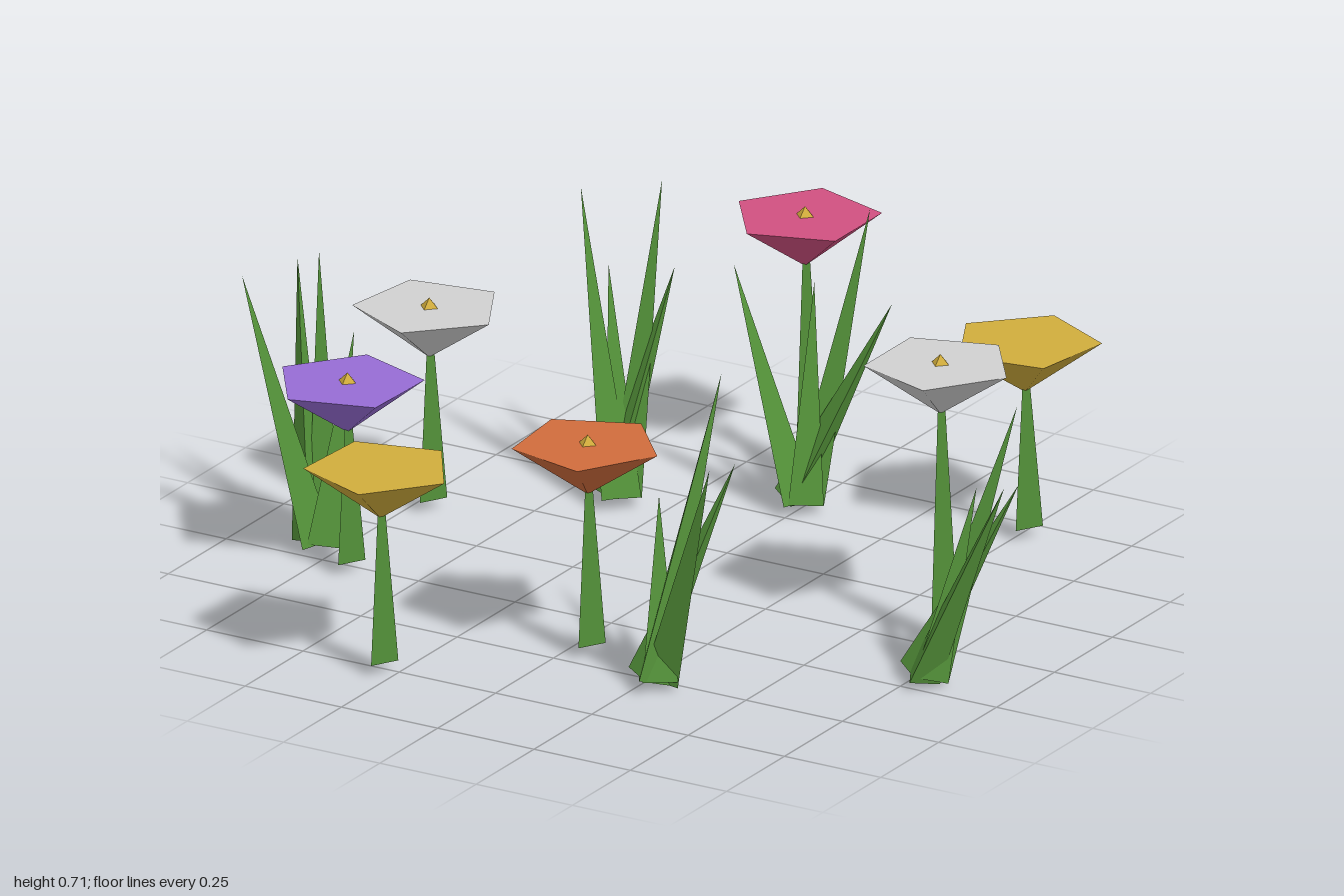
import * as THREE from 'three';

const material = (name, color, flatShading = false) => {
  const m = new THREE.MeshStandardMaterial({ color, flatShading });
  m.name = name;
  return m;
};

const addMesh = (parent, name, geometry, mat) => {
  const mesh = new THREE.Mesh(geometry, mat);
  mesh.name = name;
  parent.add(mesh);
  return mesh;
};

const HEAD_RADIUS = 0.172, HEAD_HEIGHT = 0.12, STEM_BOTTOM = 0.02;

export function createModel() {
  const group = new THREE.Group();
  group.name = 'flowerPatch';

  const green = material('leafGreen', 0x528f38, true);
  const gold = material('centreGold', 0xd0ac3c, true);
  const petals = {
    white: material('petalWhite', 0xd0d0d0),
    purple: material('petalPurple', 0x966cd4),
    yellow: material('petalYellow', 0xd0ac3c),
    orange: material('petalOrange', 0xd06c3c),
    pink: material('petalPink', 0xd05080),
  };

  // Flower: three-sided stem, upturned five-sided head, small gold centre
  const addFlower = ([colour, x, z, top, turn, hasCentre]) => {
    const flower = new THREE.Group();
    flower.name = colour + 'Flower';
    flower.position.set(x, 0, z);
    group.add(flower);

    const stemLength = top - HEAD_HEIGHT + 0.03 - STEM_BOTTOM;
    const stem = addMesh(flower, 'stem', new THREE.CylinderGeometry(0.01, 0.04, stemLength, 3), green);
    stem.position.y = STEM_BOTTOM + stemLength / 2;

    const head = addMesh(flower, 'flowerHead',
      new THREE.CylinderGeometry(HEAD_RADIUS, 0, HEAD_HEIGHT, 5), petals[colour]);
    head.position.y = top - HEAD_HEIGHT / 2;
    head.rotation.y = turn;

    if (hasCentre) {
      const centre = addMesh(flower, 'flowerCentre', new THREE.OctahedronGeometry(0.03), gold);
      centre.position.y = top - 0.008;
    }
  };

  // colour, x, z, top height, turn, gold centre
  [
    ['white', -0.71, -0.145, 0.475, 1.42, true],
    ['purple', -0.67, 0.275, 0.445, -1.6, true],
    ['yellow', -0.29, 0.765, 0.48, 1.51, false],
    ['orange', 0.05, 0.435, 0.495, 1.66, true],
    ['white', 0.68, -0.04, 0.655, 1.57, true],
    ['pink', -0.11, -0.77, 0.605, -1.57, true],
    ['yellow', 0.515, -0.68, 0.46, 2.04, false],
  ].forEach(addFlower);

  // Grass tuft: tapering three-sided blades leaning from a shared base to their tips
  const up = new THREE.Vector3(0, 1, 0);
  const addTuft = ({ base, tips }) => {
    const tuft = new THREE.Group();
    tuft.name = 'grassTuft';
    group.add(tuft);
    tips.forEach(([x, y, z], i) => {
      const tip = new THREE.Vector3(x, y, z);
      const a = i * 2.4;
      const foot = new THREE.Vector3(base[0] + 0.022 * Math.sin(a), 0.014, base[1] + 0.022 * Math.cos(a));
      const axis = tip.clone().sub(foot);
      const length = axis.length();
      const blade = addMesh(tuft, 'grassBlade', new THREE.ConeGeometry(0.047, length, 3), green);
      blade.position.copy(foot).add(tip).multiplyScalar(0.5);
      blade.quaternion.setFromUnitVectors(up, axis.normalize());
      blade.rotateY(i * 1.3);
    });
  };

  [
    { base: [-0.365, -0.385], tips: [[-0.53, 0.68, -0.5], [-0.37, 0.7, -0.585], [-0.31, 0.52, -0.54], [-0.47, 0.5, -0.52]] },
    { base: [0, -0.565], tips: [[-0.205, 0.52, -0.62], [0.065, 0.66, -0.76], [0.17, 0.48, -0.68], [-0.02, 0.5, -0.66]] },
    { base: [0.785, 0.2], tips: [[0.99, 0.5, 0.2], [0.93, 0.63, 0.045], [0.955, 0.46, 0.08], [0.87, 0.45, 0.12]] },
    { base: [0.28, 0.53], tips: [[0.34, 0.69, 0.34], [0.465, 0.57, 0.6], [0.4, 0.5, 0.38], [0.25, 0.42, 0.46]] },
    { base: [-0.79, 0.2], tips: [[-0.995, 0.605, 0.19], [-0.9, 0.625, 0.015], [-0.935, 0.615, 0.05], [-0.77, 0.48, 0.08]] },
  ].forEach(addTuft);

  return group;
}
